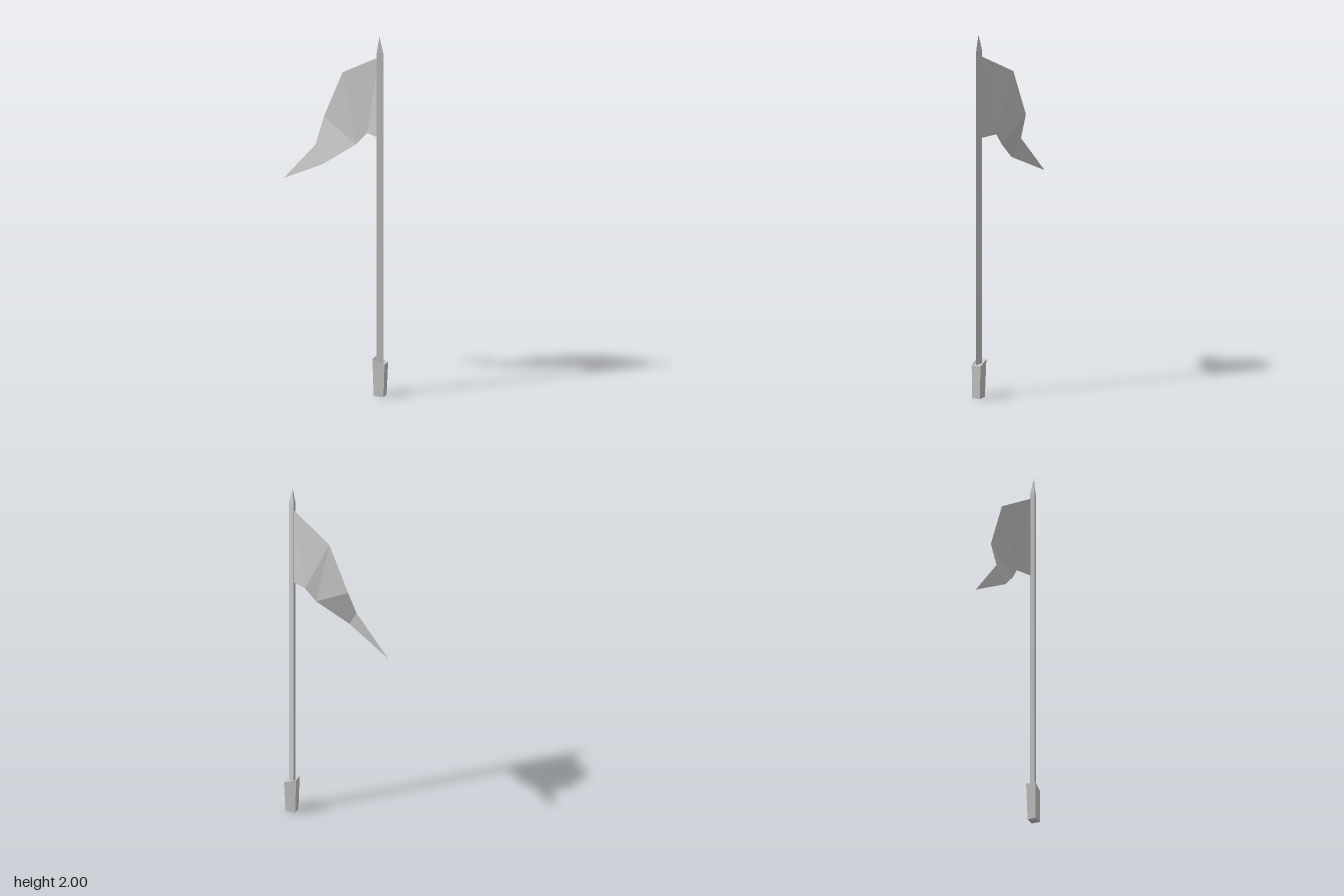
import * as THREE from 'three';

const material = new THREE.MeshStandardMaterial({ color: 0xcccccc, flatShading: true, side: THREE.DoubleSide });

// Skins a list of cross-sections (each an equal list of [x, y, z]); closed loops wrap round and get end caps
function loft(name, sections, closed) {
  const n = sections[0].length, index = [];
  for (let s = 0; s < sections.length - 1; s++) {
    for (let i = 0; i < (closed ? n : n - 1); i++) {
      const a = s * n + i, b = s * n + (i + 1) % n;
      index.push(a, a + n, b, b, a + n, b + n);
    }
  }
  if (closed) {
    const last = (sections.length - 1) * n;
    for (let i = 1; i < n - 1; i++) {
      index.push(0, i, i + 1, last, last + i + 1, last + i);
    }
  }
  const geometry = new THREE.BufferGeometry();
  geometry.setAttribute('position', new THREE.Float32BufferAttribute(sections.flat(2), 3));
  geometry.setIndex(index);
  const flat = geometry.toNonIndexed();
  flat.computeVertexNormals();
  const mesh = new THREE.Mesh(flat, material);
  mesh.name = name;
  return mesh;
}

export function createModel() {
  const group = new THREE.Group();
  group.name = 'pennantOnPole';

  // Three-sided pole tapering to a spike
  const corners = [[0.258, 0.019], [0.258, 0.045], [0.293, 0.037]];
  const tip = [0.27, 0.035];
  const ring = (y, k) => corners.map(([x, z]) => [tip[0] + (x - tip[0]) * k, y, tip[1] + (z - tip[1]) * k]);
  group.add(loft('pole', [ring(0.18, 1), ring(1.91, 1), ring(2, 0.02)], true));

  // Butt block with a slanted, slightly sunken top
  const block = [
    [[0.245, 0, 0.01], [0.245, 0, 0.056], [0.301, 0, 0.056], [0.301, 0, 0.01]],
    [[0.239, 0.207, 0.004], [0.239, 0.207, 0.058], [0.307, 0.183, 0.056], [0.307, 0.183, 0.003]],
    [[0.258, 0.186, 0.02], [0.258, 0.186, 0.046], [0.293, 0.182, 0.045], [0.293, 0.182, 0.02]],
  ];
  group.add(loft('buttBlock', block, true));

  // Drooping pennant: upper and lower edge points from hoist to tip
  const ribs = [
    [[0.26, 1.43, 0.022], [0.26, 1.88, 0.022]],
    [[0.178, 1.435, -0.023], [0.03, 1.75, -0.045]],
    [[0.115, 1.365, -0.02], [-0.082, 1.485, -0.06]],
    [[-0.06, 1.245, 0.015], [-0.112, 1.34, -0.014]],
    [[-0.305, 1.12, -0.05], [-0.305, 1.121, -0.05]],
  ];
  group.add(loft('pennant', ribs, false));

  return group;
}
